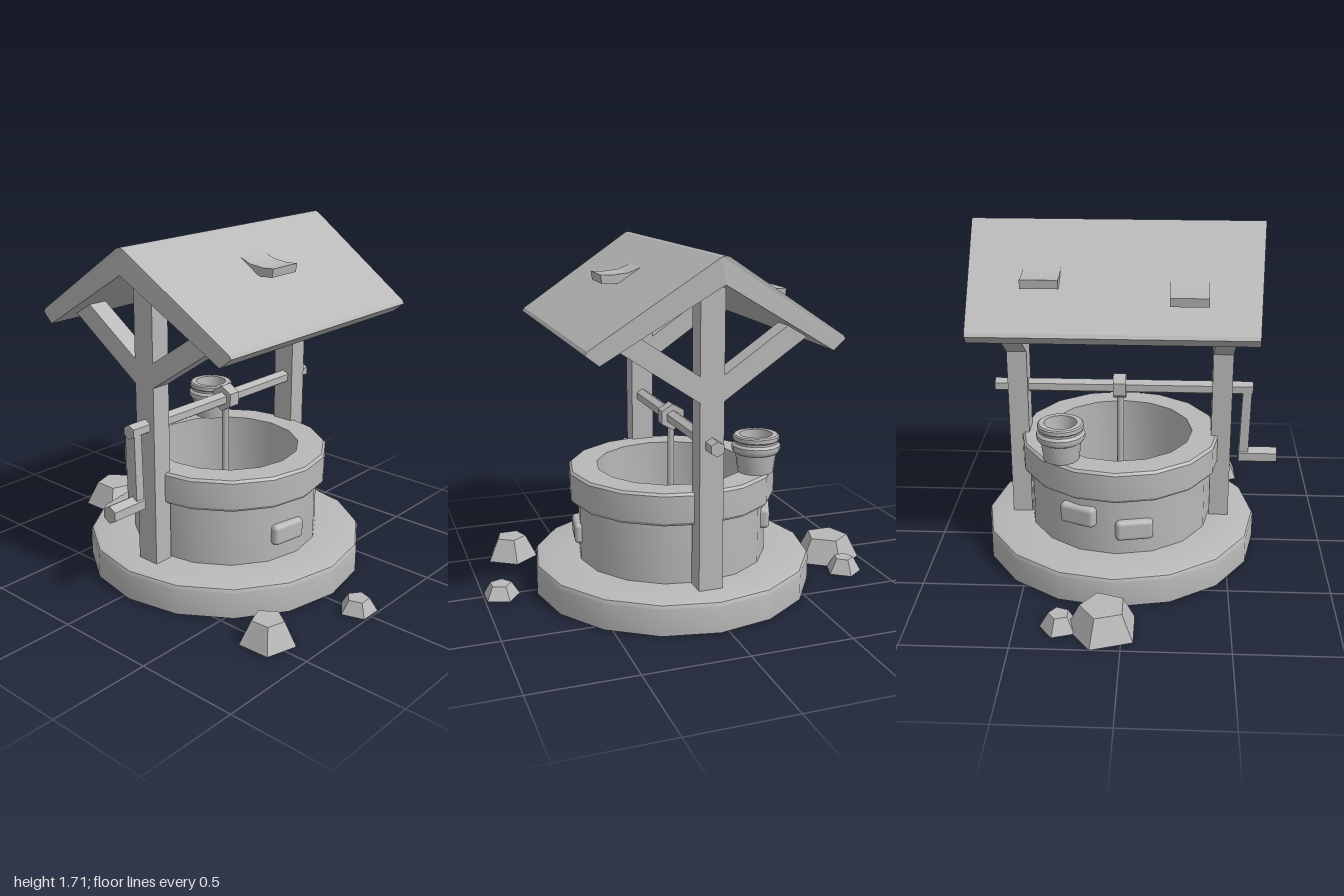
import * as THREE from 'three';
import { toCreasedNormals } from 'three/addons/utils/BufferGeometryUtils.js';
import { RoundedBoxGeometry } from 'three/addons/geometries/RoundedBoxGeometry.js';

const CX = 0.04, CZ = -0.05; // axis of the well

export function createModel() {
  const model = new THREE.Group();
  model.name = 'well';
  const grey = new THREE.MeshStandardMaterial({ color: 0xb8b8b8, side: THREE.DoubleSide });
  grey.name = 'stone grey';

  const add = (name, geometry, x = 0, y = 0, z = 0) => {
    const mesh = new THREE.Mesh(geometry, grey);
    mesh.name = name;
    mesh.position.set(x, y, z);
    model.add(mesh);
    return mesh;
  };
  const lathe = (points, sides) => toCreasedNormals(
    new THREE.LatheGeometry(points.map(p => new THREE.Vector2(...p)), sides), 0.5);
  const extrude = (points, depth) => {
    const g = new THREE.ExtrudeGeometry(
      new THREE.Shape(points.map(p => new THREE.Vector2(...p))), { depth, bevelEnabled: false });
    return g.translate(0, 0, -depth / 2);
  };
  // Six-sided bar along z with a corner pointing up
  const hexBar = (name, r, z0, z1, y) => {
    const g = new THREE.CylinderGeometry(r, r, z1 - z0, 6).rotateX(Math.PI / 2);
    add(name, toCreasedNormals(g, 0.5), CX, y, (z0 + z1) / 2);
  };

  // Hollow plinth and well wall with overhanging rim
  add('plinth', lathe([[0.7, 0], [0.7, 0.13], [0.693, 0.147], [0.675, 0.155], [0.46, 0.155]], 16), CX, 0, CZ);
  add('wellWall', lathe([[0, 0.002], [0.475, 0.002], [0.475, 0.455], [0.508, 0.455], [0.518, 0.47],
    [0.518, 0.6], [0.506, 0.612], [0.375, 0.612], [0.375, 0.05], [0, 0.05]], 16), CX, 0, CZ)
    .scale.z = 0.985;

  // Raised bricks: angle around the wall from +z toward +x, height
  [[81, 0.29], [-79, 0.29], [-113, 0.35]].forEach(([deg, y]) => {
    const a = THREE.MathUtils.degToRad(deg);
    add('brick', new RoundedBoxGeometry(0.185, 0.105, 0.07, 2, 0.022),
      CX + Math.sin(a) * 0.463, y, CZ + Math.cos(a) * 0.463).rotation.y = a;
  });

  // Posts with slanted braces
  for (const s of [1, -1]) {
    const z = CZ + s * 0.515;
    add('post', extrude([[-0.058, 0], [0.058, 0], [0.058, 1.56], [0, 1.594], [-0.058, 1.56]], 0.1), CX, 0, z);
    for (const m of [1, -1]) {
      add('brace', extrude([[0.05, 1.045], [0.478, 1.335], [0.382, 1.39], [0.05, 1.165]]
        .map(([x, y]) => [x * m, y]), 0.1), CX, 0, z);
    }
  }

  // Gabled roof, longer at the ridge than at the eaves
  const right = [[0.018, 1.704], [0.59, 1.332], [0.6, 1.315], [0.54, 1.267]];
  const left = right.map(([x, y]) => [-x, y]).reverse();
  const roof = extrude([[0, 1.709], ...right, [0, 1.587], ...left], 2);
  const p = roof.attributes.position;
  for (let i = 0; i < p.count; i++) {
    p.setZ(i, p.getZ(i) * (0.703 - 0.085 * Math.abs(p.getX(i))));
  }
  roof.computeVertexNormals();
  add('roof', roof, CX, 0, -0.055);

  // Loose shingles curling up: side, tip distance from ridge, length, lift, z
  const shingles = [[1, 0.37, 0.21, 0.105, -0.04], [-1, 0.41, 0.165, 0.08, -0.395], [-1, 0.49, 0.2, 0.08, 0.285]];
  for (const [m, tip, len, lift, z] of shingles) {
    const roofY = d => 1.71 - 0.65 * d;
    const at = (t, h) => {
      const d = tip - len * (1 - t);
      return [m * d, roofY(d) + h];
    };
    add('shingle', extrude([at(0, 0.002), at(0.35, lift * 0.2), at(0.7, lift * 0.58), at(1, lift),
      at(0.97, lift - 0.046), at(0.65, lift * 0.55 - 0.046), at(0, -0.035)], 0.175), CX, 0, z);
  }

  // Winch: axle, drum, rope, tapered crank arm and handle
  hexBar('axle', 0.036, -0.685, 0.62, 0.852);
  hexBar('drum', 0.066, -0.085, -0.02, 0.853);
  add('rope', new THREE.CylinderGeometry(0.018, 0.018, 0.7, 8), CX, 0.47, CZ);
  add('crankArm', extrude([[-0.615, 0.85], [-0.57, 0.85], [-0.56, 0.48], [-0.608, 0.48]], 0.06)
    .rotateY(Math.PI / 2), CX, 0, 0);
  hexBar('crankHandle', 0.044, 0.56, 0.755, 0.482);

  // Bucket standing on the rim
  add('bucket', lathe([[0, 0], [0.088, 0], [0.1, 0.095], [0.113, 0.103], [0.119, 0.115], [0.119, 0.135],
    [0.107, 0.147], [0.107, 0.157], [0.113, 0.163], [0.113, 0.182], [0.106, 0.188], [0.08, 0.188],
    [0.07, 0.09], [0, 0.09]], 16), -0.305, 0.611, -0.32);

  // Five-sided boulders: x, z, bottom radius, top radius, height, direction of one corner
  const stones = [
    [-0.835, -0.085, 0.174, 0.11, 0.125, Math.PI],
    [-0.83, -0.29, 0.092, 0.05, 0.075, Math.PI],
    [0.915, -0.01, 0.094, 0.055, 0.065, -Math.PI / 2],
    [0.77, 0.485, 0.135, 0.078, 0.115, -Math.PI / 2 - 0.27],
  ];
  for (const [x, z, r0, r1, h, turn] of stones) {
    const g = new THREE.CylinderGeometry(r1, r0, h, 5).toNonIndexed();
    g.computeVertexNormals();
    add('boulder', g, x, h / 2, z).rotation.y = turn;
  }

  return model;
}
